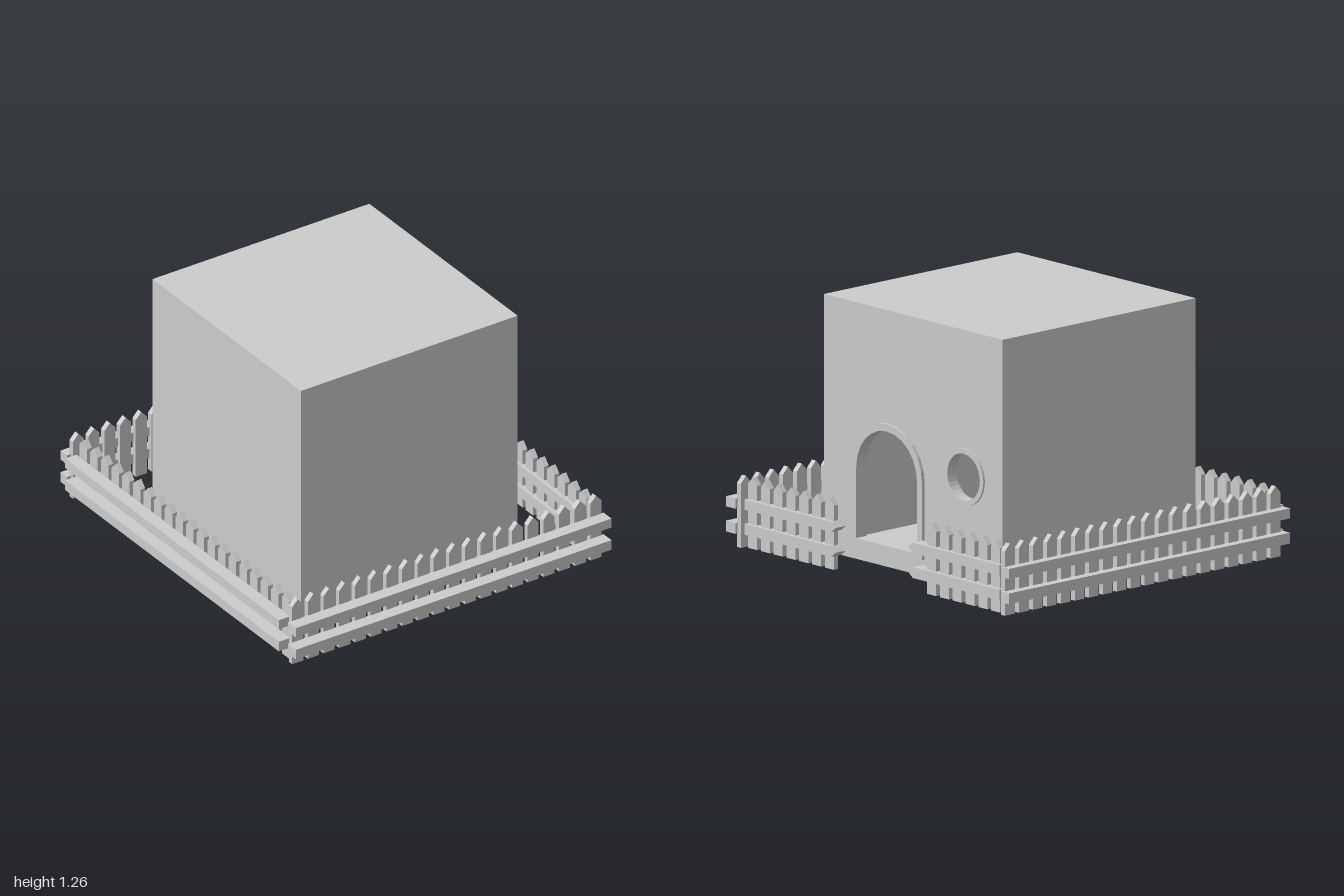
import * as THREE from 'three';

const wood = new THREE.MeshStandardMaterial({ color: 0xcccccc });
wood.name = 'plain grey';

// Shape from [x, y] points
const poly = (pts) => new THREE.Shape(pts.map(([x, y]) => new THREE.Vector2(x, y)));

// Arched doorway outline, grown outward by g (u = -z)
function doorPath(g) {
  const r = 0.215 + g, cu = -0.14, cy = 0.455, pts = [[cu - r, 0.108 - g * 0.75], [cu + r, 0.108 - g * 0.75]];
  for (let i = 0; i <= 12; i++) {
    const a = (i / 12) * Math.PI;
    pts.push([cu + r * Math.cos(a), cy + r * Math.sin(a)]);
  }
  return poly(pts);
}

// Round window outline
function windowPath(r) {
  const pts = [];
  for (let i = 0; i < 32; i++) {
    const a = (i / 32) * Math.PI * 2;
    pts.push([0.395 + r * Math.cos(a), 0.54 + r * Math.sin(a)]);
  }
  return poly(pts);
}

export function createModel() {
  const root = new THREE.Group();
  root.name = 'fencedHouse';

  function add(parent, name, geometry) {
    const mesh = new THREE.Mesh(geometry, wood);
    mesh.name = name;
    parent.add(mesh);
    return mesh;
  }
  // Box from min and max corners
  function box(parent, name, x0, x1, y0, y1, z0, z1) {
    add(parent, name, new THREE.BoxGeometry(x1 - x0, y1 - y0, z1 - z0))
      .position.set((x0 + x1) / 2, (y0 + y1) / 2, (z0 + z1) / 2);
  }
  // Extrude a (-z, y) outline from x0 to x1
  function sidePlate(parent, name, shape, x0, x1) {
    const g = new THREE.ExtrudeGeometry(shape, { depth: x1 - x0, bevelEnabled: false });
    g.rotateY(Math.PI / 2).translate(x0, 0, 0);
    return add(parent, name, g);
  }

  // Hollow house
  const house = new THREE.Group();
  house.name = 'house';
  root.add(house);
  const t = 0.05, X0 = -0.6, X1 = 0.65, Z0 = -0.66, Z1 = 0.6, H = 1.26;
  box(house, 'floor', X0, X1 - t, 0, t, Z0, Z1);
  box(house, 'roof', X0, X1 - t, H - t, H, Z0, Z1);
  box(house, 'leftWall', X0, X0 + t, t, H - t, Z0, Z1);
  box(house, 'frontWall', X0 + t, X1 - t, t, H - t, Z1 - t, Z1);
  box(house, 'backWall', X0 + t, X1 - t, t, H - t, Z0, Z0 + t);
  const wall = poly([[-Z1, 0], [-Z0, 0], [-Z0, H], [-Z1, H]]);
  wall.holes.push(doorPath(0), windowPath(0.115));
  sidePlate(house, 'doorWall', wall, X1 - t, X1);

  // Raised frames around the openings
  const doorFrame = doorPath(0.035);
  doorFrame.holes.push(doorPath(0));
  sidePlate(house, 'doorFrame', doorFrame, X1, 0.667);
  const windowFrame = windowPath(0.14);
  windowFrame.holes.push(windowPath(0.115));
  sidePlate(house, 'windowFrame', windowFrame, X1, 0.66);

  // Pointed picket, broad side facing z
  const w = 0.032;
  const picket = new THREE.ExtrudeGeometry(
    poly([[-w, 0], [w, 0], [w, 0.315], [0, 0.35], [-w, 0.315]]),
    { depth: 0.028, bevelEnabled: false }).translate(0, 0, -0.014);
  const step = 0.0905, rails = [[0.067, 0.12], [0.19, 0.24]];

  // Front and back fences, rails outside the pickets
  for (const [name, z, r0, r1] of [['frontFence', 0.921, 0.932, 1], ['backFence', -0.942, -1, -0.945]]) {
    const fence = new THREE.Group();
    fence.name = name;
    root.add(fence);
    for (let i = 0; i < 20; i++) add(fence, 'picket', picket).position.set(-0.845 + i * step, 0, z);
    for (const [y0, y1] of rails) box(fence, 'rail', -0.9, 0.92, y0, y1, r0, r1);
  }

  // Left fence
  const left = new THREE.Group();
  left.name = 'leftFence';
  root.add(left);
  for (let i = 0; i < 20; i++) {
    const p = add(left, 'picket', picket);
    p.position.set(-0.846, 0, -0.865 + i * step);
    p.rotation.y = Math.PI / 2;
  }
  for (const [y0, y1] of rails) box(left, 'rail', -0.925, -0.858, y0, y1, -0.925, 0.893);

  // Two right fences with pointed rail ends at the gateway
  for (const [name, s, count, start, end, tip] of [
    ['rightFrontFence', 1, 7, 0.855, 0.89, 0.245], ['rightBackFence', -1, 6, 0.862, 0.912, 0.265]]) {
    const fence = new THREE.Group();
    fence.name = name;
    root.add(fence);
    for (let i = 0; i < count; i++) {
      const p = add(fence, 'picket', picket);
      p.position.set(0.866, 0, s * (start - i * step));
      p.rotation.y = Math.PI / 2;
    }
    for (const [y0, y1] of rails) {
      const rail = poly([[-s * end, y0], [-s * (tip + 0.033), y0], [-s * tip, (y0 + y1) / 2],
        [-s * (tip + 0.033), y1], [-s * end, y1]]);
      sidePlate(fence, 'rail', rail, 0.835, 0.9);
    }
  }
  return root;
}
